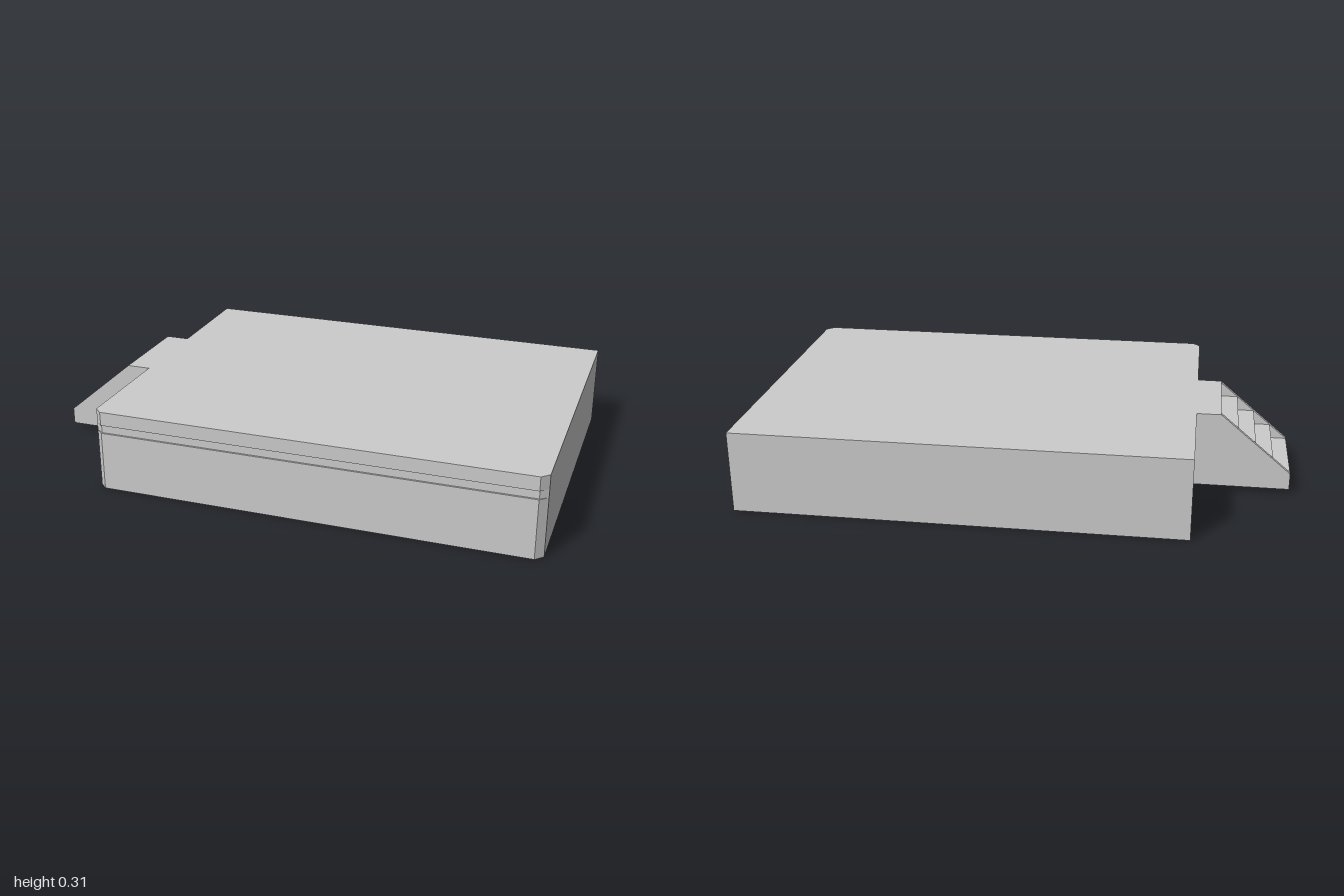
import * as THREE from 'three';

export function createModel() {
  const group = new THREE.Group();
  const mat = new THREE.MeshStandardMaterial({ color: 0xcccccc, flatShading: true });
  const add = (name, geo, x = 0, y = 0, z = 0) => {
    const mesh = new THREE.Mesh(geo, mat);
    mesh.name = name;
    mesh.position.set(x, y, z);
    group.add(mesh);
  };
  const shapeOf = (pts) => new THREE.Shape(pts.map((p) => new THREE.Vector2(...p)));
  const extrude = (pts, depth) =>
    new THREE.ExtrudeGeometry(shapeOf(pts), { depth, bevelEnabled: false });

  // Platform: stacked slabs with clipped front corners, the middle one set back as a groove
  const left = -0.645, right = 1, back = -0.617, side = 0.59, cut = 0.028;
  const slab = (name, y0, y1, front) => {
    const geo = extrude([
      [left, -back], [left, -side], [left + cut, -front],
      [right - cut, -front], [right, -side], [right, -back],
    ], y1 - y0);
    geo.rotateX(-Math.PI / 2);
    add(name, geo, 0, y0, 0);
  };
  slab('platformBase', 0, 0.222, 0.617);
  slab('frontGroove', 0.222, 0.253, 0.61);
  slab('platformTop', 0.253, 0.305, 0.617);

  // Stair side panels
  const top = 0.305, low = 0.083, knee = -0.735, thick = 0.018;
  for (const [name, z] of [['stairPanelBack', -0.195], ['stairPanelFront', 0.147]]) {
    add(name, extrude([
      [-1, 0.02], [left, 0.02], [left, top], [knee, top], [-1, low],
    ], thick), 0, 0, z);
  }

  // Open treads following the slope, and the landing
  const width = 0.324, mid = -0.015, board = 0.012, steps = 4;
  const run = (knee + 1) / steps, rise = (top - low) / steps;
  for (let i = 0; i < steps; i++) {
    add('stairTread', new THREE.BoxGeometry(run, board, width),
      -1 + run * (i + 0.5), low + rise * i - board / 2, mid);
  }
  add('stairLanding', new THREE.BoxGeometry(left - knee, board, width),
    (left + knee) / 2, top - board / 2, mid);

  return group;
}
